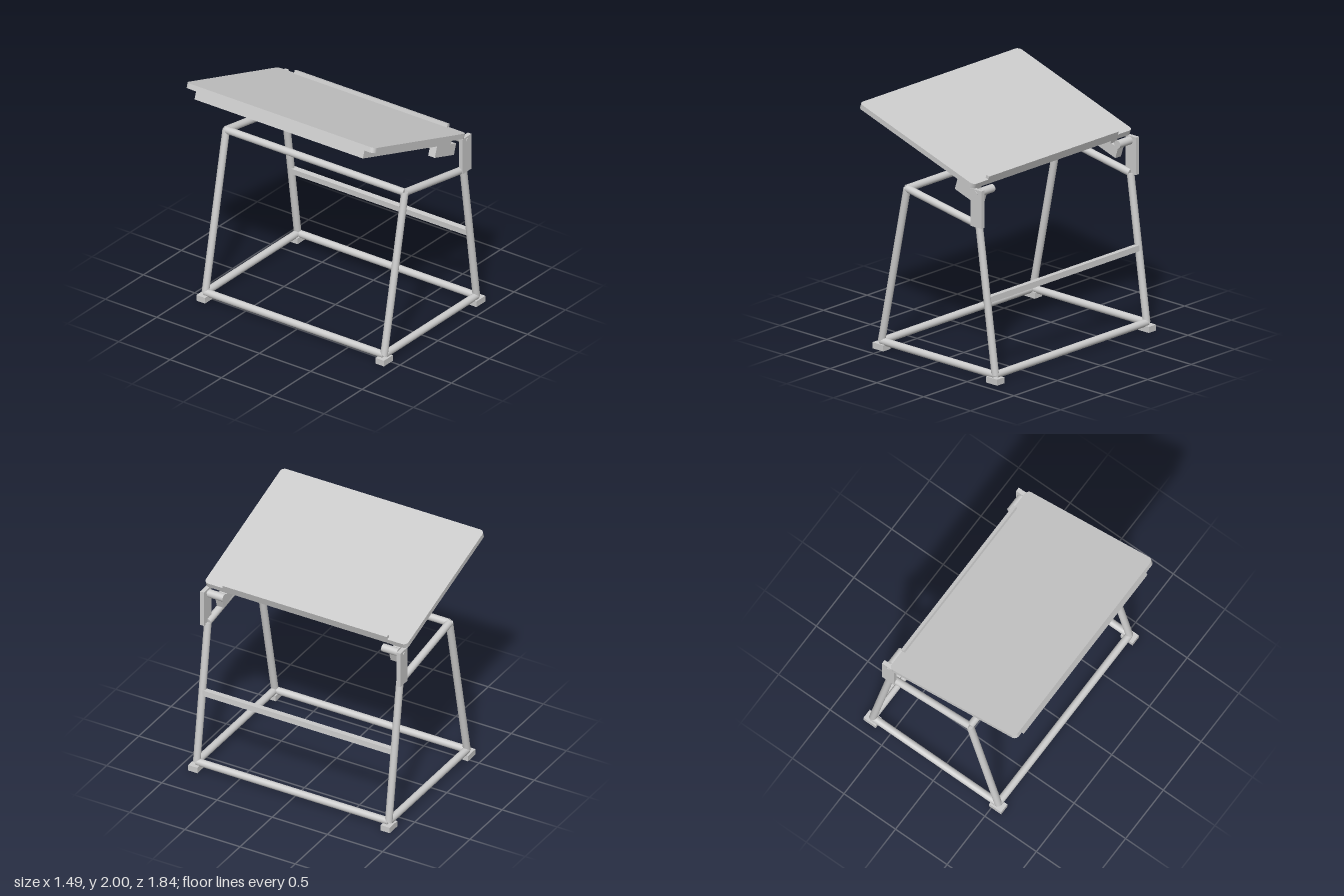
import * as THREE from 'three';

const R = 0.03;      // frame tube radius
const SIDE = 0.87;   // z of the two side frames

export function createModel() {
  const model = new THREE.Group();
  model.name = 'draftingTable';
  const mat = new THREE.MeshStandardMaterial({ color: 0xcccccc });

  const add = (name, geo, parent = model) => {
    const mesh = new THREE.Mesh(geo, mat);
    mesh.name = name;
    parent.add(mesh);
    return mesh;
  };
  // Box given by its limits on each axis
  const box = (name, [x0, x1], [y0, y1], [z0, z1], parent) => {
    const mesh = add(name, new THREE.BoxGeometry(x1 - x0, y1 - y0, z1 - z0), parent);
    mesh.position.set((x0 + x1) / 2, (y0 + y1) / 2, (z0 + z1) / 2);
    return mesh;
  };
  // Round bar between two points
  const bar = (name, a, b, r = R) => {
    const p = new THREE.Vector3(...a), q = new THREE.Vector3(...b);
    const d = q.clone().sub(p);
    const mesh = add(name, new THREE.CylinderGeometry(r, r, d.length(), 24));
    mesh.position.copy(p).add(q).multiplyScalar(0.5);
    mesh.quaternion.setFromUnitVectors(new THREE.Vector3(0, 1, 0), d.normalize());
    return mesh;
  };

  // Corners of one side frame (x, y)
  const footA = [-0.535, 0.065], topA = [-0.262, 1.39];
  const footB = [0.68, 0.065], topB = [0.508, 1.262];

  for (const s of [1, -1]) {
    const z = s * SIDE;
    bar('tallLeg', [...footA, z], [...topA, z]);
    bar('shortLeg', [...footB, z], [...topB, z]);
    bar('sideTopRail', [...topA, z], [...topB, z]);
    bar('sideBaseRail', [...footA, z], [...footB, z]);
    const zs = (a, b) => (s > 0 ? [a, b] : [-b, -a]);
    box('foot', [-0.595, -0.478], [0, 0.05], zs(0.83, 0.913));
    box('foot', [0.622, 0.74], [0, 0.05], zs(0.83, 0.913));
    // Hinge: upright plate, bolt and thick pivot
    box('hingePlate', [0.45, 0.565], [1.255, 1.565], zs(0.872, 0.907));
    bar('hingeBolt', [0.507, 1.533, s * 0.85], [0.507, 1.533, s * 0.913], 0.017);
    bar('hingePivot', [0.507, 1.533, s * 0.718], [0.507, 1.533, s * 0.86], 0.033);
  }

  // Bars joining the two sides
  for (const [name, p] of [['baseCrossRail', footA], ['baseCrossRail', footB], ['topCrossRail', topA]]) {
    bar(name, [...p, -SIDE], [...p, SIDE]);
  }
  const stretcher = box('stretcher', [0.57, 0.618], [0.642, 0.69], [-SIDE, SIDE]);
  stretcher.rotation.z = 0.06;

  // Tilted top: local x runs down the slope, local y = 0 is the drawing surface
  const top = new THREE.Group();
  top.name = 'tiltingTop';
  top.position.set(-0.73, 2, 0);
  top.rotation.z = -0.313;
  model.add(top);

  // Board with rounded corners
  const L = 1.282, W = 0.918, T = 0.043, c = 0.04;
  const outline = new THREE.Shape();
  outline.absarc(L - c, W - c, c, 0, Math.PI / 2);
  outline.absarc(c, W - c, c, Math.PI / 2, Math.PI);
  outline.absarc(c, c - W, c, Math.PI, Math.PI * 1.5);
  outline.absarc(L - c, c - W, c, Math.PI * 1.5, Math.PI * 2);
  const boardGeo = new THREE.ExtrudeGeometry(outline, { depth: T, bevelEnabled: false, curveSegments: 8 });
  boardGeo.rotateX(Math.PI / 2);
  add('board', boardGeo, top);

  // Stop ledge and the rails and hinge arms beneath the board
  box('ledge', [1.252, L], [0, 0.028], [-0.745, 0.745], top);
  box('upperBatten', [0.02, 0.106], [-0.114, -T], [-0.82, 0.82], top);
  for (const s of [1, -1]) {
    const zs = (a, b) => (s > 0 ? [a, b] : [-b, -a]);
    box('sideBatten', [0.106, 1.235], [-0.114, -T], zs(0.745, 0.82), top);
    box('hingeArm', [1.045, 1.31], [-0.208, -0.114], zs(0.755, 0.82), top);
  }
  return model;
}
